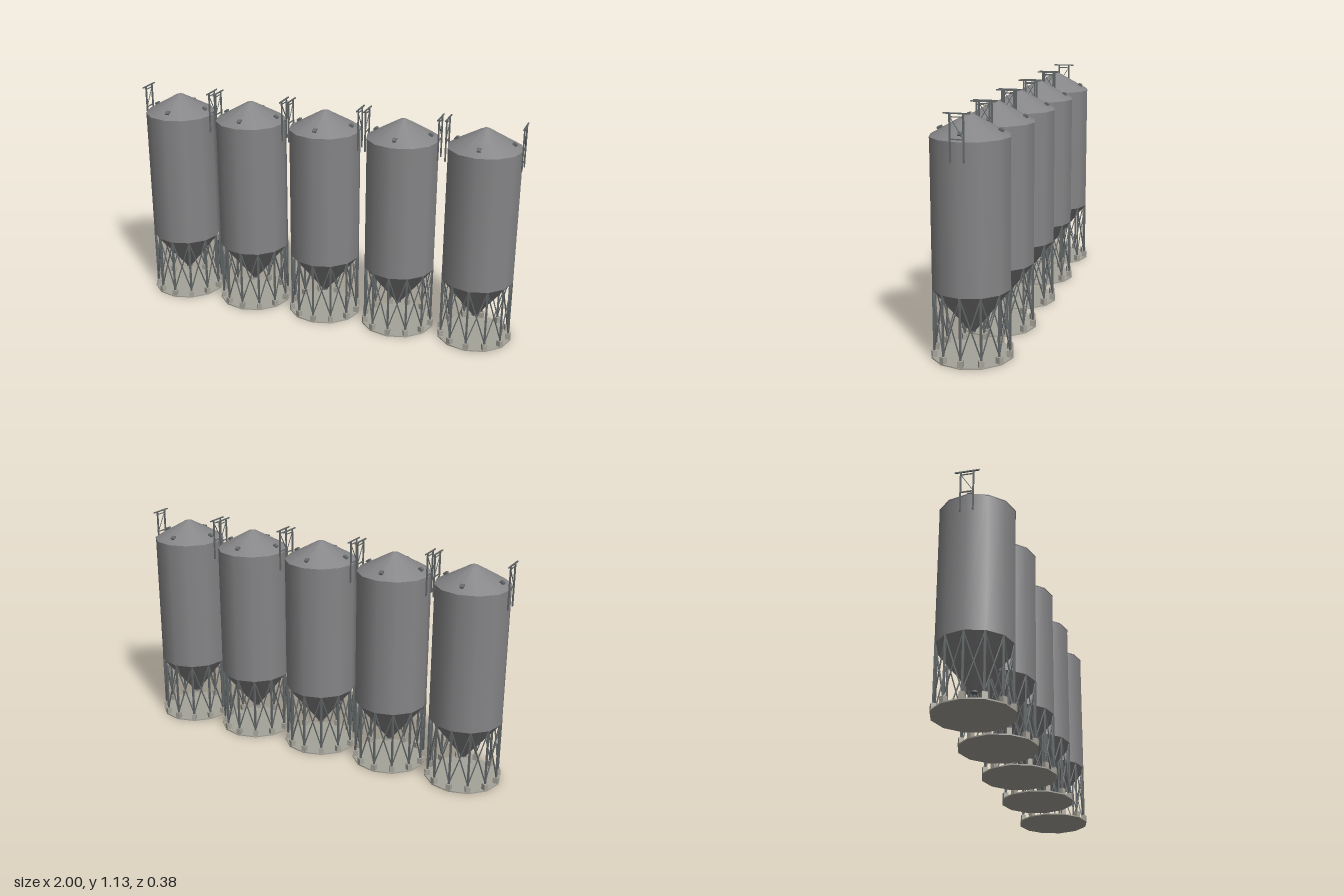
import * as THREE from 'three';

const SIDES = 12;
const R = 0.18;

export function createModel() {
  const model = new THREE.Group();
  model.name = 'siloRow';
  const mat = (name, color) => Object.assign(new THREE.MeshStandardMaterial({ color }), { name });
  const sheet = mat('grey sheet metal', 0x858587);
  const steel = mat('steel', 0x666a6b);
  const concrete = mat('concrete', 0xa5a399);

  const add = (parent, name, geo, material, x = 0, y = 0, z = 0) => {
    const mesh = new THREE.Mesh(geo, material);
    mesh.name = name;
    mesh.position.set(x, y, z);
    parent.add(mesh);
    return mesh;
  };
  const V = (x, y, z) => new THREE.Vector3(x, y, z);
  const UP = V(0, 1, 0);

  // Square bar running between two points
  const bar = (parent, name, a, b, w) => {
    const d = b.clone().sub(a);
    const mesh = add(parent, name, new THREE.BoxGeometry(w, d.length(), w), steel);
    mesh.position.copy(a).add(b).multiplyScalar(0.5);
    mesh.quaternion.setFromUnitVectors(UP, d.normalize());
  };

  const rim = (i, y, r = R) => {
    const a = (i / SIDES) * Math.PI * 2;
    return V(Math.sin(a) * r, y, Math.cos(a) * r);
  };

  // Ladder-top frame standing outside the wall; side is +1 or -1
  const buildFrame = (side) => {
    const g = new THREE.Group();
    g.name = 'hoistFrame';
    const x = side * 0.184;
    for (const z of [-0.03, 0.03]) bar(g, 'framePost', V(x, 0.915, z), V(x, 1.122, z), 0.007);
    bar(g, 'frameTopBeam', V(x, 1.123, -0.058), V(x, 1.123, 0.058), 0.006);
    bar(g, 'frameUpperRail', V(x, 1.108, -0.03), V(x, 1.108, 0.03), 0.004);
    bar(g, 'frameLowerRail', V(x, 1.014, -0.03), V(x, 1.014, 0.03), 0.005);
    bar(g, 'frameDiagonal', V(x, 1.02, -side * 0.027), V(x, 1.105, side * 0.027), 0.003);
    return g;
  };

  // Roof vent sitting on the slope at angle a
  const buildVent = (a) => {
    const g = new THREE.Group();
    g.name = 'roofVent';
    g.rotation.y = a;
    const vent = new THREE.Group();
    vent.position.set(0, 1.026, 0.136);
    vent.rotation.x = Math.atan2(0.095, R);
    g.add(vent);
    add(vent, 'ventBase', new THREE.BoxGeometry(0.016, 0.014, 0.022), steel);
    const cap = add(vent, 'ventCap', new THREE.CylinderGeometry(0.012, 0.012, 0.02, 10, 1, false, 0, Math.PI), steel, 0, 0.006, 0);
    cap.rotation.z = Math.PI / 2;
    cap.scale.x = 0.6;
    return g;
  };

  const buildSilo = () => {
    const g = new THREE.Group();
    g.name = 'silo';

    // Foundation
    add(g, 'foundationSlab', new THREE.CylinderGeometry(0.19, 0.19, 0.006, SIDES), concrete, 0, 0.003, 0);

    // Tank, roof and hopper
    add(g, 'tankWall', new THREE.CylinderGeometry(R, R, 0.68, SIDES, 1, true), sheet, 0, 0.66, 0);
    add(g, 'roofEave', new THREE.CylinderGeometry(0.182, 0.182, 0.004, SIDES), sheet, 0, 1.0, 0);
    add(g, 'roof', new THREE.CylinderGeometry(0.016, 0.182, 0.093, SIDES, 1, true), sheet, 0, 1.0485, 0);
    add(g, 'roofCap', new THREE.ConeGeometry(0.017, 0.004, SIDES), sheet, 0, 1.096, 0);
    add(g, 'hopper', new THREE.CylinderGeometry(R, 0.016, 0.205, SIDES, 1, true), sheet, 0, 0.2175, 0);
    add(g, 'hopperOutlet', new THREE.CylinderGeometry(0.016, 0.016, 0.01, SIDES), steel, 0, 0.112, 0);

    // Legs, footings and cross bracing
    for (let i = 0; i < SIDES; i++) {
      const foot = rim(i, 0.02, 0.175);
      const block = add(g, 'footing', new THREE.BoxGeometry(0.024, 0.032, 0.024), concrete, foot.x, foot.y, foot.z);
      block.rotation.y = (i / SIDES) * Math.PI * 2;
      bar(g, 'leg', rim(i, 0.03, 0.175), rim(i, 0.32, 0.175), 0.009);
      bar(g, 'brace', rim(i, 0.04, 0.175), rim(i + 1, 0.315, 0.175), 0.005);
      bar(g, 'brace', rim(i + 1, 0.04, 0.175), rim(i, 0.315, 0.175), 0.005);
    }

    for (let i = 0; i < 4; i++) g.add(buildVent((i * Math.PI) / 2));
    g.add(buildFrame(1), buildFrame(-1));
    return g;
  };

  // Row of five silos
  for (let i = -2; i <= 2; i++) {
    const silo = buildSilo();
    silo.position.x = i * 0.405;
    model.add(silo);
  }
  return model;
}
